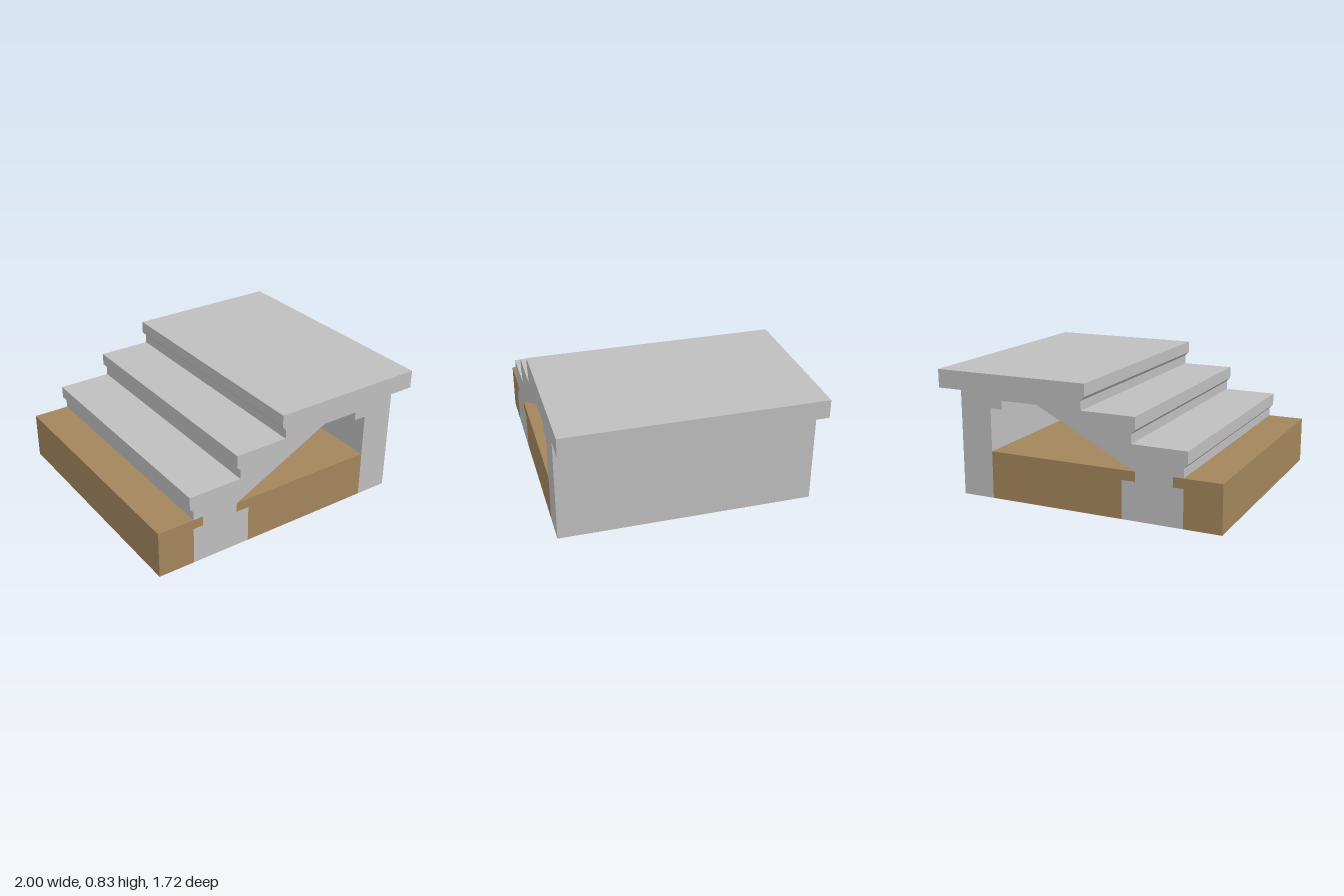
import * as THREE from 'three';

const DEPTH = 1.715;

// Extrudes an x/y cross-section along z, centred on z = 0
function slab(name, points, material) {
  const shape = new THREE.Shape(points.map(([x, y]) => new THREE.Vector2(x, y)));
  const geometry = new THREE.ExtrudeGeometry(shape, { depth: DEPTH, bevelEnabled: false });
  geometry.translate(0, 0, -DEPTH / 2);
  const mesh = new THREE.Mesh(geometry, material);
  mesh.name = name;
  return mesh;
}

export function createModel() {
  const concrete = new THREE.MeshStandardMaterial({ color: 0xbebebe });
  concrete.name = 'concrete';
  const soil = new THREE.MeshStandardMaterial({ color: 0xa3855c });
  soil.name = 'soil';

  const ground = 0.32, ledge = 0.255;

  // Three steps, each a recessed riser under a chamfered nosing
  const steps = [
    [-0.775, 0.49],
    [-0.43, 0.663],
    [-0.087, 0.835],
  ].flatMap(([x, top]) => [
    [x + 0.025, top - 0.172],
    [x + 0.025, top - 0.11],
    [x, top - 0.083],
    [x, top],
  ]);
  steps[0][1] = ground;

  const staircase = [
    // footing, left side
    [-0.75, 0], [-0.75, ledge], [-0.68, ledge], [-0.68, ground],
    ...steps,
    // landing overhang and rear wall
    [1, 0.835], [1, 0.71], [0.825, 0.71], [0.825, 0], [0.6, 0],
    // support corbel, landing underside and sloping soffit
    [0.6, 0.61], [0.513, 0.61], [0.513, 0.668], [0.255, 0.668], [-0.43, ground],
    // footing, right side
    [-0.43, ledge], [-0.34, ledge], [-0.34, 0],
  ];

  // Earth in front of the footing and between footing and wall
  const outerSoil = [
    [-1, 0], [-0.75, 0], [-0.75, ledge], [-0.68, ledge], [-0.68, ground], [-1, ground],
  ];
  const innerSoil = [
    [-0.34, 0], [0.6, 0], [0.6, ground], [-0.43, ground], [-0.43, ledge], [-0.34, ledge],
  ];

  const model = new THREE.Group();
  model.name = 'staircaseSection';
  model.add(
    slab('concreteStaircase', staircase, concrete),
    slab('outerSoil', outerSoil, soil),
    slab('innerSoil', innerSoil, soil),
  );
  return model;
}
